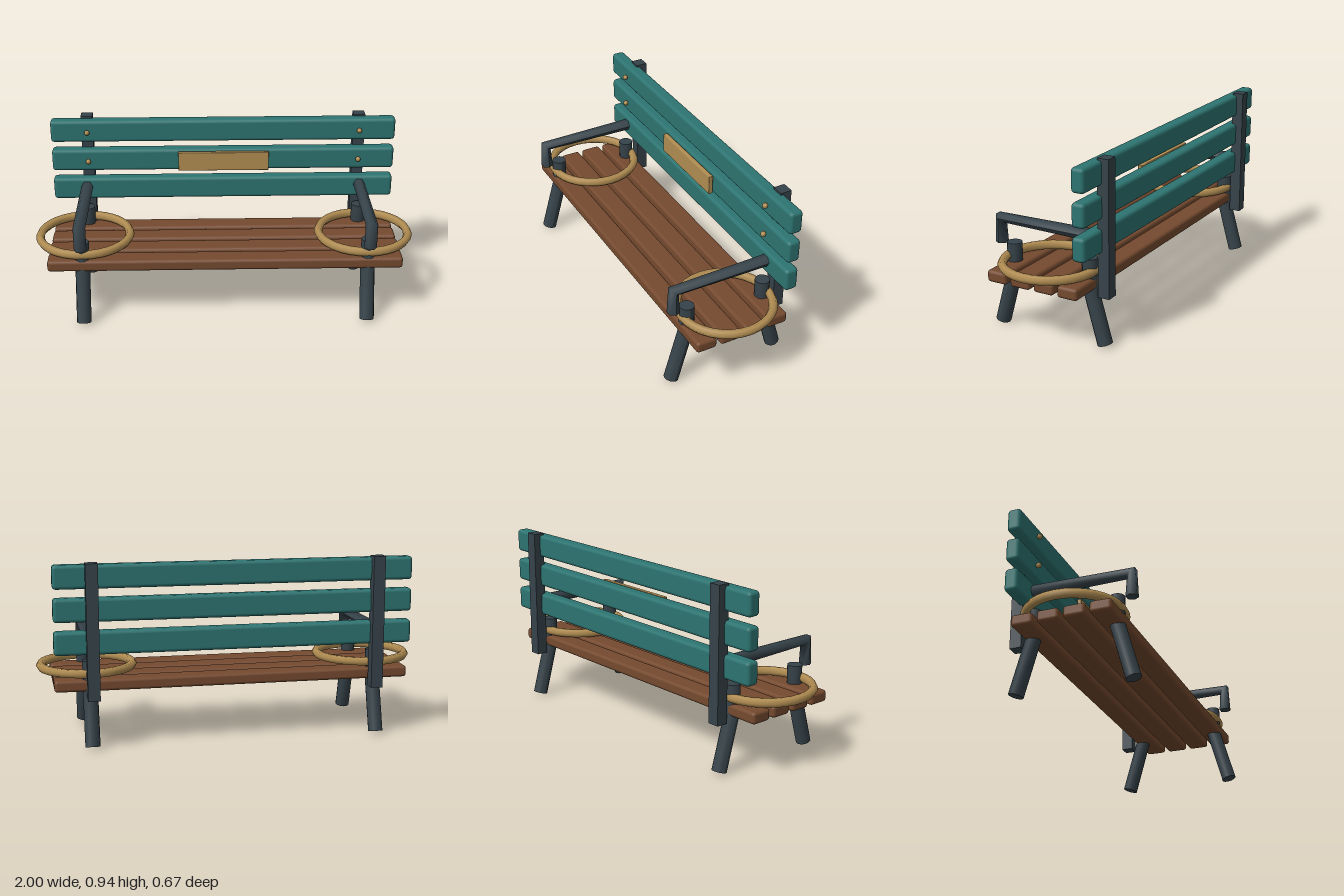
import * as THREE from 'three';
import { RoundedBoxGeometry } from 'three/addons/geometries/RoundedBoxGeometry.js';

const iron = new THREE.MeshStandardMaterial({ color: 0x36434a });
const teal = new THREE.MeshStandardMaterial({ color: 0x2d7471 });
const wood = new THREE.MeshStandardMaterial({ color: 0x754a2f });
const brass = new THREE.MeshStandardMaterial({ color: 0xb18d52 });

// Three-point pipe in the yz plane with a mitred bend; points are [y, z].
function bentPipe(points, radius, sides) {
  const p = points.map(([y, z]) => new THREE.Vector3(0, y, z));
  const d0 = p[1].clone().sub(p[0]).normalize();
  const d1 = p[2].clone().sub(p[1]).normalize();
  const dirs = [d0, d0.clone().add(d1).normalize(), d1];
  const g = new THREE.CylinderGeometry(radius, radius, 2, sides, 2, false, Math.PI / 2);
  const pos = g.attributes.position;
  for (let i = 0; i < pos.count; i++) {
    const k = Math.round(pos.getY(i)) + 1;
    const z = pos.getZ(i);
    pos.setXYZ(i, pos.getX(i), p[k].y - z * dirs[k].z, p[k].z + z * dirs[k].y);
  }
  g.computeVertexNormals();
  return g;
}

export function createModel() {
  const bench = new THREE.Group();
  bench.name = 'bench';
  const add = (name, geometry, material, x, y, z) => {
    const mesh = new THREE.Mesh(geometry, material);
    mesh.name = name;
    mesh.position.set(x, y, z);
    bench.add(mesh);
    return mesh;
  };

  // Seat slats
  const seatSlat = new RoundedBoxGeometry(1.84, 0.06, 0.11, 2, 0.016);
  for (let i = 0; i < 4; i++) add('seatSlat', seatSlat, wood, 0, 0.315, 0.2 - i * 0.1317);

  // Backrest slats
  const backSlat = new RoundedBoxGeometry(1.84, 0.12, 0.07, 2, 0.018);
  for (const y of [0.54, 0.705, 0.87]) add('backSlat', backSlat, teal, 0, y, -0.26);

  // Blank plaque on the middle back slat
  add('plaque', new RoundedBoxGeometry(0.485, 0.104, 0.024, 1, 0.004), brass, 0, 0.706, -0.205);

  // Parts repeated at both ends
  const leg = bentPipe([[0.012, 0.296], [0.3, 0.214], [0.44, 0.214]], 0.038, 12);
  const arm = bentPipe([[0.427, 0.2875], [0.5535, 0.2875], [0.5535, -0.275]], 0.032, 6);
  const post = new THREE.BoxGeometry(0.062, 0.685, 0.06);
  const bolt = new THREE.SphereGeometry(0.014, 10, 8);
  const ring = new THREE.TorusGeometry(0.237, 0.023, 6, 32).rotateX(Math.PI / 2);
  for (const [side, s] of [['left', 1], ['right', -1]]) {
    add(side + 'FrontLeg', leg, iron, s * 0.74, 0, 0);
    add(side + 'BackLeg', leg, iron, s * 0.74, 0, 0).rotation.y = Math.PI;
    add(side + 'Armrest', arm, iron, s * 0.74, 0, 0);
    add(side + 'BackPost', post, iron, s * 0.73, 0.5975, -0.301);
    add(side + 'Ring', ring, brass, s * 0.74, 0.375, 0);
    for (const y of [0.705, 0.87]) add(side + 'Bolt', bolt, brass, s * 0.725, y, -0.211);
  }
  return bench;
}
